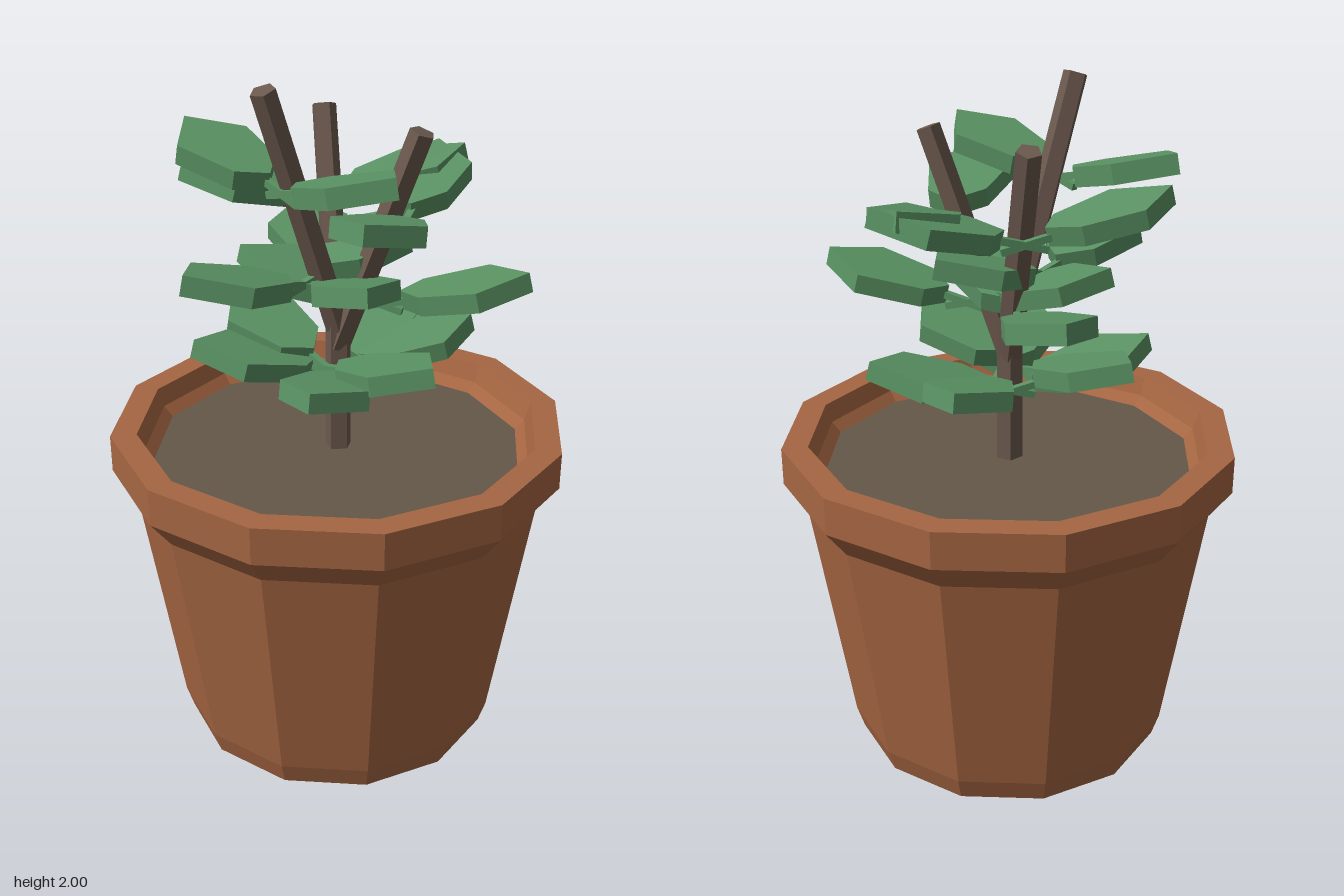
import * as THREE from 'three';

const flat = (name, color) => {
  const m = new THREE.MeshStandardMaterial({ color, flatShading: true });
  m.name = name;
  return m;
};

export function createModel() {
  const terracotta = flat('terracotta', 0xa66642);
  const earth = flat('soil', 0x655849);
  const bark = flat('bark', 0x6b594e);
  const green = flat('leafGreen', 0x5a9263);

  const model = new THREE.Group();
  model.name = 'pottedPlant';
  const add = (parent, name, geometry, material) => {
    const mesh = new THREE.Mesh(geometry, material);
    mesh.name = name;
    parent.add(mesh);
    return mesh;
  };

  // Pot: twelve-sided, with a flared rim and inner lip
  const profile = [[0, 0], [0.468, 0], [0.49, 0.07], [0.602, 0.79], [0.666, 0.875],
    [0.666, 0.985], [0.59, 0.985], [0.572, 0.93], [0.54, 0.895]];
  add(model, 'pot', new THREE.LatheGeometry(profile.map(p => new THREE.Vector2(...p)), 12), terracotta);

  // Soil disc
  add(model, 'soil', new THREE.CircleGeometry(0.55, 12).rotateX(-Math.PI / 2), earth).position.y = 0.9;

  // Five-sided tapered stick between two points
  const stick = (parent, name, from, to, r0, r1) => {
    const dir = to.clone().sub(from);
    const mesh = add(parent, name, new THREE.CylinderGeometry(r1, r0, dir.length(), 5), bark);
    mesh.position.copy(from).addScaledVector(dir, 0.5);
    mesh.quaternion.setFromUnitVectors(new THREE.Vector3(0, 1, 0), dir.normalize());
  };
  stick(model, 'trunk', new THREE.Vector3(0, 0.88, 0), new THREE.Vector3(0, 1.3, 0), 0.04, 0.038);

  // Leaf: slightly lopsided thick hexagon growing along +x, on a thin stalk
  const outline = [[0.07, 0], [0.15, -0.08], [0.32, -0.105], [0.437, 0.025], [0.295, 0.145], [0.115, 0.085]];
  const leafGeo = new THREE.ExtrudeGeometry(
    new THREE.Shape(outline.map(p => new THREE.Vector2(...p))), { depth: 0.055, bevelEnabled: false }
  ).rotateX(-Math.PI / 2);
  const stalkGeo = new THREE.BoxGeometry(0.15, 0.02, 0.02).translate(0.015, 0.025, 0);

  // Leaf pairs: distance out from the trunk, height, first direction
  const pairs = [
    { out: 0.045, y: 1.135, turn: Math.PI / 2, drop: 0.035 },
    { out: 0.125, y: 1.41, turn: 0, drop: 0.07 },
    { out: 0.19, y: 1.68, turn: Math.PI / 2, drop: 0.105 },
  ];

  // Three branches around the trunk, one taller than the others
  [Math.PI, Math.PI / 3, -Math.PI / 3].forEach((angle, i) => {
    const branch = new THREE.Group();
    branch.name = 'branch' + (i + 1);
    branch.rotation.y = -angle;
    model.add(branch);
    const short = i > 0;
    stick(branch, 'branchStem', new THREE.Vector3(0, short ? 1.22 : 1.28, 0),
      new THREE.Vector3(short ? 0.235 : 0.25, short ? 1.86 : 1.988, 0), 0.038, 0.036);

    for (const pair of pairs) {
      for (const side of [0, Math.PI]) {
        const leaf = new THREE.Group();
        leaf.name = 'leaf';
        leaf.position.set(pair.out, pair.y - (short ? pair.drop : 0), 0);
        leaf.rotation.set(0, pair.turn + side, 0.245);
        add(leaf, 'blade', leafGeo, green);
        add(leaf, 'stalk', stalkGeo, green);
        branch.add(leaf);
      }
    }
  });

  return model;
}
